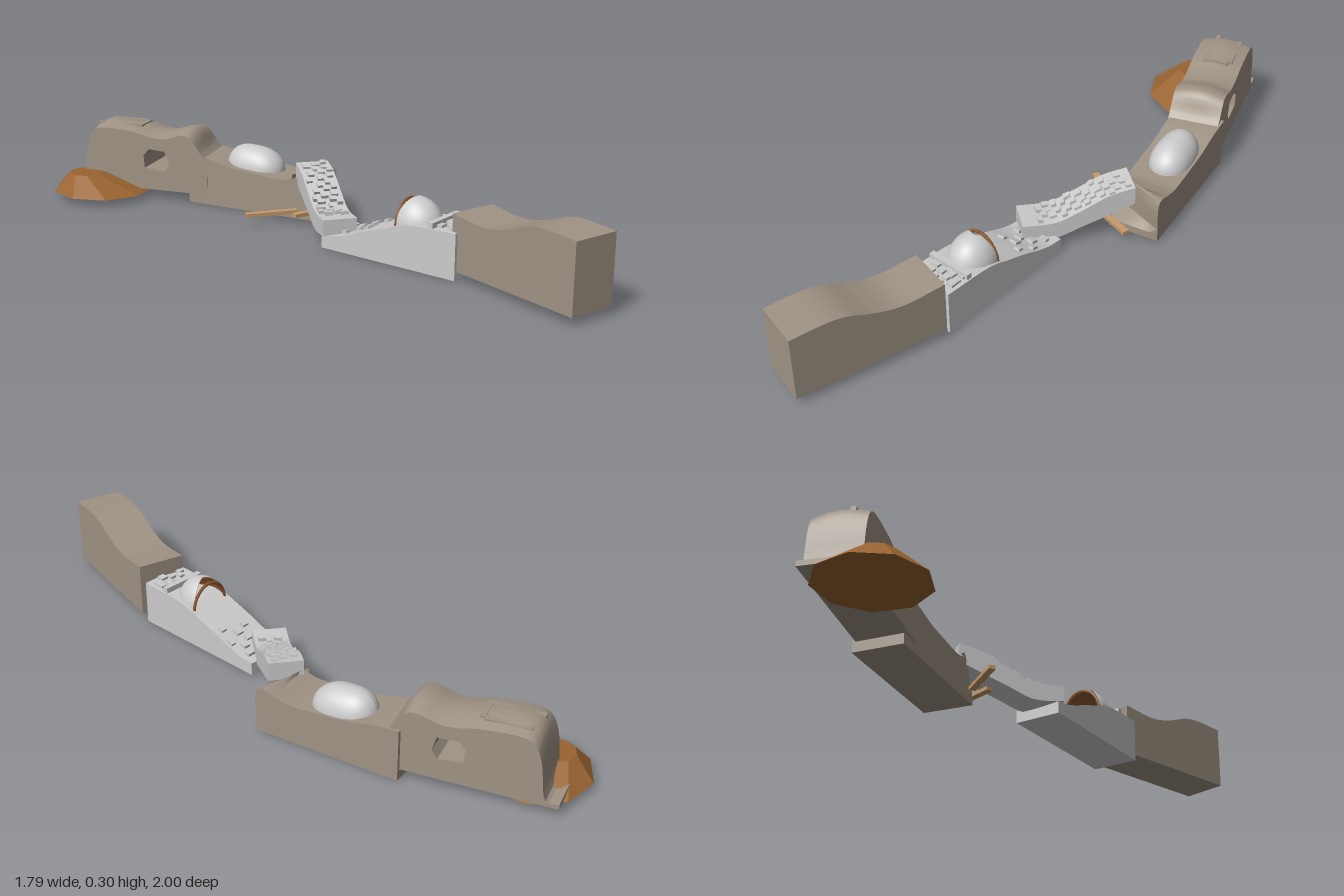
import * as THREE from 'three';
import { toCreasedNormals } from 'three/addons/utils/BufferGeometryUtils.js';

const mat = (color, extra = {}) => new THREE.MeshStandardMaterial({ color, ...extra });
const stone = mat(0x9f9384);
const grey = mat(0xcccccc);
const greyShell = mat(0xcccccc, { side: THREE.DoubleSide });
const earth = mat(0x9a6430, { flatShading: true });
const rust = mat(0x8f5a30, { side: THREE.DoubleSide });
const wood = mat(0xc49a6c);

let seed = 7;
const rand = () => (seed = (seed * 16807) % 2147483647) / 2147483647;

function add(parent, name, geo, material, x = 0, y = 0, z = 0) {
  const mesh = new THREE.Mesh(geo, material);
  mesh.name = name;
  mesh.position.set(x, y, z);
  parent.add(mesh);
  return mesh;
}

// Height of a profile of [s, y] points at distance s
function heightAt(profile, s) {
  for (let i = 1; i < profile.length; i++) {
    const [a, ya] = profile[i - 1], [b, yb] = profile[i];
    if (s <= b) return ya + (yb - ya) * (s - a) / (b - a);
  }
  return profile[profile.length - 1][1];
}

// Wall section: side outline extruded across its width, local x along the wall.
// 'rule' may move each vertex after extrusion.
function wall(root, name, [x, z], [dx, dz], width, bottom, top, material, { hole, rule } = {}) {
  const group = new THREE.Group();
  group.name = name;
  group.position.set(x, 0, z);
  group.rotation.y = Math.atan2(-dz, dx);
  root.add(group);
  const v = ([a, b]) => new THREE.Vector2(a, b);
  const shape = new THREE.Shape();
  shape.moveTo(...bottom[0]);
  if (bottom.length > 2) shape.splineThru(bottom.slice(1).map(v));
  else shape.lineTo(...bottom[1]);
  const back = [...top].reverse();
  shape.lineTo(...back[0]);
  shape.splineThru(back.slice(1).map(v));
  shape.closePath();
  if (hole) shape.holes.push(new THREE.Path(hole.map(v)));
  const geo = new THREE.ExtrudeGeometry(shape, { depth: width, steps: 6, curveSegments: 4, bevelEnabled: false });
  if (rule) {
    const p = geo.attributes.position, q = new THREE.Vector3();
    for (let i = 0; i < p.count; i++) {
      rule(q.fromBufferAttribute(p, i));
      p.setXYZ(i, q.x, q.y, q.z);
    }
  }
  add(group, name + 'Body', toCreasedNormals(geo, 0.5), material);
  return group;
}

// Loose bricks standing slightly proud of a wall top
function bricks(group, profile, width, s0, s1, count) {
  for (let i = 0; i < count; i++) {
    const s = s0 + (s1 - s0) * (i + rand() * 0.7) / count;
    const z = width * (0.1 + 0.8 * ((i * 0.382 + rand() * 0.15) % 1));
    const geo = new THREE.BoxGeometry(0.018 + rand() * 0.012, 0.018, 0.02 + rand() * 0.012);
    const brick = add(group, 'brick', geo, grey, s, heightAt(profile, s) + 0.002, z);
    brick.rotation.z = Math.atan2(heightAt(profile, s + 0.02) - heightAt(profile, s - 0.02), 0.04);
  }
}

export function createModel() {
  const root = new THREE.Group();
  root.name = 'ruinedWall';

  // Tall rear section with a window through it and a worn crown
  const rearTop = [[0, 0.06], [0.05, 0.065], [0.07, 0.2], [0.1, 0.268], [0.16, 0.286], [0.28, 0.278],
    [0.35, 0.262], [0.42, 0.258], [0.49, 0.278], [0.535, 0.27], [0.575, 0.215], [0.61, 0.18]];
  const rear = wall(root, 'rearWall', [-0.71, -1], [0.876, 0.482], 0.2, [[0, 0.04], [0.61, 0.04]], rearTop, stone, {
    hole: [[0.33, 0.13], [0.42, 0.12], [0.44, 0.15], [0.425, 0.205], [0.35, 0.21], [0.325, 0.18]],
    rule: p => { p.y += 0.018 * Math.sin(Math.PI * p.z / 0.2) * THREE.MathUtils.smoothstep(p.y, 0.21, 0.26); },
  });
  for (const [s, z, l, d] of [[0.2, 0.05, 0.16, 0.025], [0.2, 0.14, 0.2, 0.02], [0.29, 0.1, 0.02, 0.1]])
    add(rear, 'parapetRemnant', new THREE.BoxGeometry(l, 0.02, d), stone, s, 0.287, z);

  // Low middle section, broken away at its inner corner
  const midTop = [[0, 0.2], [0.1, 0.19], [0.2, 0.168], [0.3, 0.158], [0.42, 0.15], [0.48, 0.16], [0.567, 0.172]];
  const mid = wall(root, 'middleWall', [-0.22, -0.745], [0.794, 0.608], 0.2,
    [[0, 0], [0.567, 0]], [...midTop, [0.568, 0.03]], stone, {
      rule: p => { if (p.x > 0.5 && p.y > 0.035) p.x -= p.z * 0.45 * (p.x - 0.5) / 0.067; },
    });

  // Rounded vault on the middle section: a half sphere squared off lengthwise
  const vaultGeo = new THREE.SphereGeometry(1, 32, 12, 0, Math.PI * 2, 0, Math.PI / 2);
  const vp = vaultGeo.attributes.position;
  for (let i = 0; i < vp.count; i++) {
    const u = vp.getX(i);
    vp.setXYZ(i, Math.sign(u) * Math.abs(u) ** 0.75 * 0.125, vp.getY(i) * (0.094 - 0.015 * u), vp.getZ(i) * 0.082);
  }
  vaultGeo.computeVertexNormals();
  add(mid, 'vault', vaultGeo, greyShell, 0.255, 0.15, 0.09);

  // Collapsed ramp leaning from the middle section down to the grey section
  const rampTop = [[0, 0.222], [0.1, 0.2], [0.2, 0.15], [0.3, 0.11], [0.42, 0.112]];
  const ramp = wall(root, 'collapsedRamp', [0.185, -0.32], [0.083, 0.997], 0.13,
    [[0, 0.15], [0.1, 0.112], [0.2, 0.075], [0.3, 0.04], [0.42, 0.05]], rampTop, grey);
  bricks(ramp, rampTop, 0.13, 0.02, 0.36, 30);

  // Grey section rising towards the front
  const greyTop = [[0, 0.05], [0.06, 0.055], [0.12, 0.072], [0.19, 0.1], [0.28, 0.13], [0.39, 0.163], [0.588, 0.172]];
  const front = wall(root, 'greyWall', [0.23, -0.04], [0.663, 0.748], 0.19, [[0, 0], [0.588, 0]], greyTop, grey);
  bricks(front, greyTop, 0.19, 0.04, 0.2, 9);
  bricks(front, greyTop, 0.19, 0.48, 0.57, 12);
  add(front, 'ledge', new THREE.BoxGeometry(0.022, 0.03, 0.18), grey, 0.478, 0.175, 0.095);

  // Open half dome with a rust lining, its mouth facing the low end
  const hood = (name, k, material) => {
    const geo = new THREE.SphereGeometry(1, 28, 12, Math.PI / 2 - 0.35, Math.PI + 0.7, 0, Math.PI / 2);
    add(front, name, geo, material, 0.36, 0.135, 0.095).scale.set(0.105 * k, 0.11 * k, 0.088 * k);
  };
  hood('halfDome', 1, greyShell);
  hood('domeLining', 0.95, rust);
  const rim = add(front, 'domeRim', new THREE.TorusGeometry(0.081, 0.006, 6, 24, Math.PI), rust, 0.325, 0.132, 0.095);
  rim.rotation.y = Math.PI / 2;
  rim.scale.y = 1.22;

  // Brown front section
  wall(root, 'frontWall', [0.64, 0.41], [0.454, 0.891], 0.185, [[0, 0.03], [0.572, 0.03]],
    [[0, 0.238], [0.06, 0.232], [0.13, 0.225], [0.2, 0.23], [0.28, 0.252], [0.36, 0.282], [0.44, 0.293], [0.572, 0.287]], stone);

  // Earth mound at the rear end, its peak pushed outwards
  const moundGeo = new THREE.CylinderGeometry(0.07, 0.205, 0.07, 9, 2);
  const mp = moundGeo.attributes.position;
  for (let i = 0; i < mp.count; i++) {
    const t = mp.getY(i) / 0.07 + 0.5;
    mp.setX(i, mp.getX(i) - 0.07 * t);
  }
  add(root, 'earthMound', moundGeo, earth, -0.685, 0.065, -0.755);

  // Fallen timbers lying around the gap
  for (const [x0, z0, x1, z1] of [[-0.155, -0.232, 0.05, -0.258], [0.03, -0.195, 0.215, -0.285]]) {
    const length = Math.hypot(x1 - x0, z1 - z0);
    const beam = add(root, 'timber', new THREE.BoxGeometry(length, 0.014, 0.026), wood, (x0 + x1) / 2, 0.04, (z0 + z1) / 2);
    beam.rotation.y = Math.atan2(z0 - z1, x1 - x0);
  }
  return root;
}
